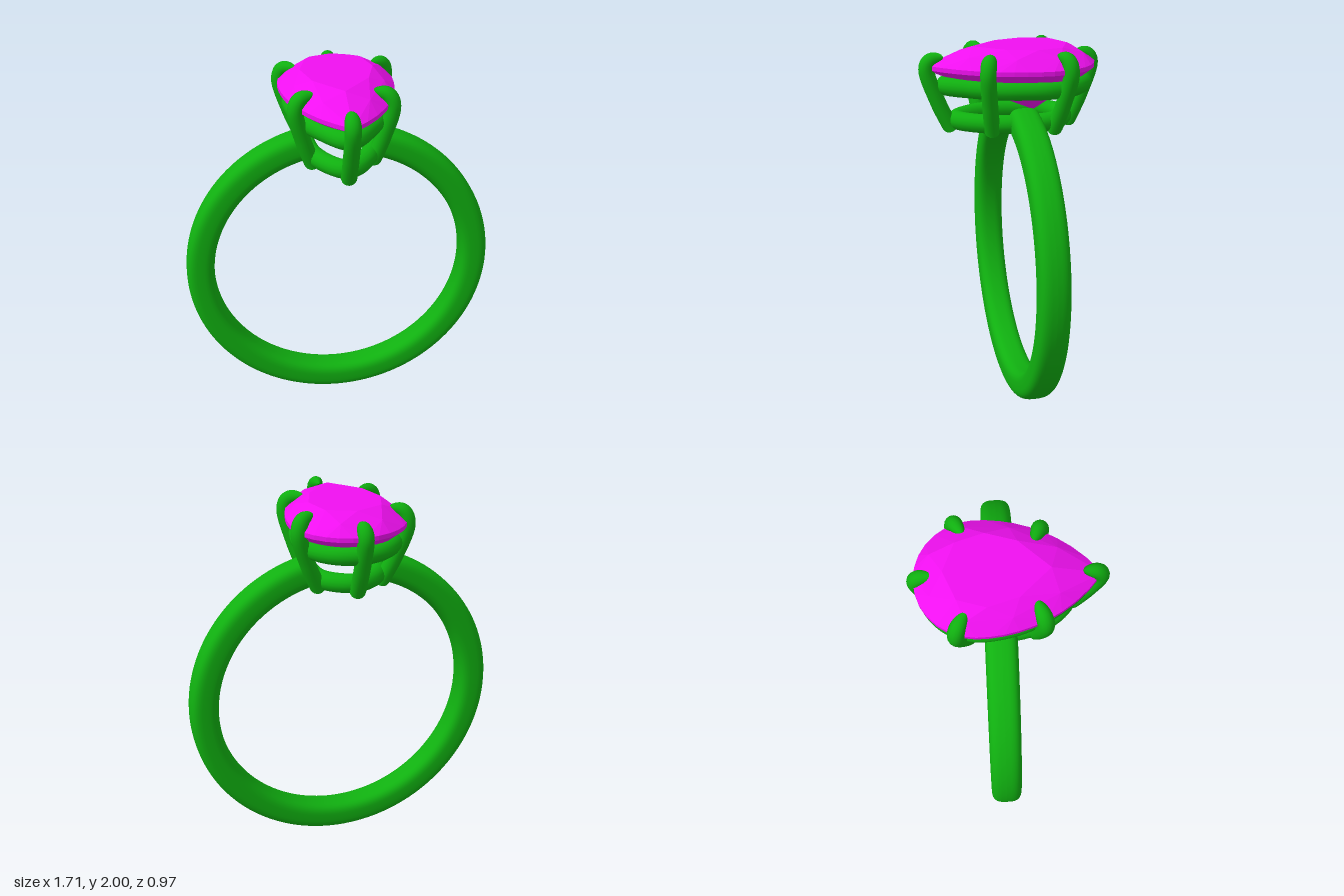
import * as THREE from 'three';
import { ConvexGeometry } from 'three/addons/geometries/ConvexGeometry.js';

const metal = new THREE.MeshStandardMaterial({ color: 0x10b010 });
const metalTwoSided = new THREE.MeshStandardMaterial({ color: 0x10b010, side: THREE.DoubleSide });
const stone = new THREE.MeshStandardMaterial({ color: 0xf010f0, flatShading: true });
const V = (x, y, z) => new THREE.Vector3(x, y, z);

function add(parent, name, geometry, material) {
  const mesh = new THREE.Mesh(geometry, material);
  mesh.name = name;
  parent.add(mesh);
  return mesh;
}

// Pear outline: f = 0 at the round back, f = -1 / 1 at the front point
function pear(f, y, sx, sz = sx) {
  const a = Math.abs(f), pivot = -0.12;
  let x, z;
  if (a < 0.45) {
    const t = (a / 0.45) * Math.PI / 2;
    x = 0.305 * Math.sin(t);
    z = -0.15 - 0.305 * Math.cos(t);
  } else {
    const s = ((a - 0.45) / 0.55) * 0.6, R = 0.743;
    x = Math.max(0, 0.305 - R + Math.sqrt(R * R - s * s));
    z = -0.15 + s;
  }
  return V(Math.sign(f) * x * sx, y, pivot + (z - pivot) * sz);
}

function pearRing(n, y, sx, sz = sx, shift = 0) {
  return Array.from({ length: n }, (_, i) => pear(-1 + (2 * (i + shift)) / n, y, sx, sz));
}

// Band: rounded section turned round the finger, open under the setting
function makeBand() {
  const band = new THREE.Group();
  band.name = 'band';
  const soft = (v, p) => Math.sign(v) * Math.abs(v) ** p;
  const profile = Array.from({ length: 41 }, (_, i) => {
    const t = (i / 40) * Math.PI * 2;
    return new THREE.Vector2(0.7775 + 0.0775 * soft(Math.cos(t), 0.65), 0.0825 * soft(Math.sin(t), 0.65));
  });
  const gap = 0.19;
  add(band, 'hoop', new THREE.LatheGeometry(profile, 128, -Math.PI + gap, 2 * (Math.PI - gap)), metal);
  for (const phi of [-Math.PI + gap, Math.PI - gap]) {
    const cap = add(band, 'hoopEnd', new THREE.ShapeGeometry(new THREE.Shape(profile.slice(0, -1))), metalTwoSided);
    cap.rotation.y = phi - Math.PI / 2;
  }
  band.rotation.x = Math.PI / 2;
  band.position.set(0, 0.855, -0.043);
  return band;
}

// Prong: tube with a rounded foot and a claw that tapers to a point
function prongGeometry([fx, fz], [hx, hz], [tx, tz], lift) {
  const mix = (a, b, t) => a + (b - a) * t;
  const path = new THREE.CatmullRomCurve3([
    V(fx, 1.548, fz),
    V(mix(fx, hx, 0.6), 1.72, mix(fz, hz, 0.6)),
    V(hx, 1.895, hz),
    V(mix(hx, tx, 0.25), 1.935 + lift, mix(hz, tz, 0.25)),
    V(tx, 1.95 + lift, tz),
  ]);
  const steps = 60, sides = 16;
  const geo = new THREE.TubeGeometry(path, steps, 0.042, sides);
  const pos = geo.attributes.position, p = V(0, 0, 0);
  for (let i = 0; i <= steps; i++) {
    const t = i / steps, c = path.getPointAt(t);
    let k = 1;
    if (t < 0.08) k = Math.sqrt(1 - (1 - t / 0.08) ** 2);
    if (t > 0.8) k = Math.sqrt(Math.max(0, 1 - ((t - 0.8) / 0.2) ** 1.6));
    for (let j = 0; j <= sides; j++) {
      const n = i * (sides + 1) + j;
      p.fromBufferAttribute(pos, n).sub(c).multiplyScalar(k).add(c);
      pos.setXYZ(n, p.x, p.y, p.z);
    }
  }
  return geo;
}

export function createModel() {
  const ring = new THREE.Group();
  ring.name = 'ring';
  ring.add(makeBand());

  // Setting: six prongs joined by two rails
  const setting = new THREE.Group();
  setting.name = 'setting';
  ring.add(setting);
  add(setting, 'backProng', prongGeometry([0, -0.31], [0, -0.445], [0, -0.36], 0), metal);
  add(setting, 'frontProng', prongGeometry([0, 0.31], [0, 0.445], [0, 0.355], 0), metal);
  for (const s of [-1, 1]) {
    add(setting, 'sideBackProng',
      prongGeometry([s * 0.16, -0.195], [s * 0.285, -0.258], [s * 0.2, -0.208], 0.02), metal);
    add(setting, 'sideFrontProng',
      prongGeometry([s * 0.15, 0.125], [s * 0.248, 0.168], [s * 0.15, 0.128], 0.012), metal);
  }

  const rail = (name, points, radius) =>
    add(setting, name, new THREE.TubeGeometry(new THREE.CatmullRomCurve3(points, true), 96, radius, 16, true), metal);
  rail('upperRail', pearRing(14, 1.8, 0.77, 0.82), 0.05);
  rail('baseRail', [[0, -0.29], [0.15, -0.19], [0.145, 0.12], [0, 0.29], [-0.145, 0.12], [-0.15, -0.19]]
    .map(([x, z]) => V(x, 1.613, z)), 0.05);

  // Faceted pear stone: table, crown, girdle, pavilion and culet
  add(ring, 'stone', new ConvexGeometry([
    ...pearRing(8, 2.0, 0.63, 0.57),
    ...pearRing(8, 1.963, 0.83, 0.83, 0.5),
    ...pearRing(32, 1.91, 1),
    ...pearRing(32, 1.887, 1),
    ...pearRing(8, 1.768, 0.55, 0.55, 0.5),
    V(0, 1.645, -0.13),
  ]), stone);

  return ring;
}
